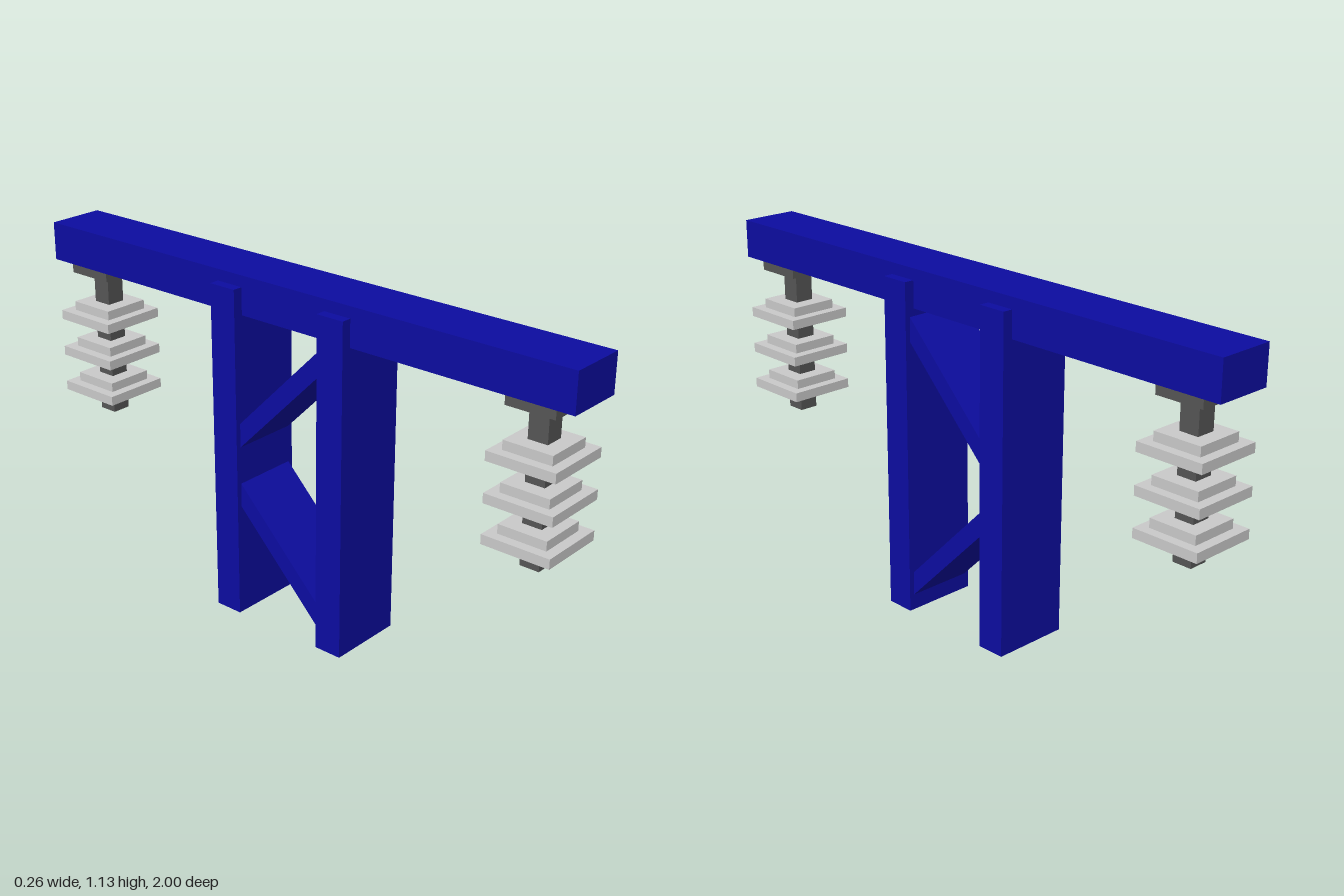
import * as THREE from 'three';

const steel = new THREE.MeshStandardMaterial({ name: 'blue steel', color: 0x0c0ca0 });
const metal = new THREE.MeshStandardMaterial({ name: 'dark metal', color: 0x555555 });
const ceramic = new THREE.MeshStandardMaterial({ name: 'pale ceramic', color: 0xcacaca });

function box(parent, name, material, [w, h, d], [x, y, z]) {
  const mesh = new THREE.Mesh(new THREE.BoxGeometry(w, h, d), material);
  mesh.name = name;
  mesh.position.set(x, y, z);
  parent.add(mesh);
  return mesh;
}

// Hanging rod with a mounting plate and three stepped square discs
function insulator(z) {
  const g = new THREE.Group();
  g.name = 'insulator';
  g.position.z = z;
  box(g, 'mountingPlate', metal, [0.16, 0.035, 0.16], [0, 0.9925, 0]);
  box(g, 'rod', metal, [0.064, 0.488, 0.064], [0, 0.734, 0]);
  for (const y of [0.56, 0.686, 0.813]) {
    box(g, 'wideDisc', ceramic, [0.224, 0.031, 0.224], [0, y + 0.0155, 0]);
    box(g, 'narrowDisc', ceramic, [0.16, 0.03, 0.16], [0, y + 0.046, 0]);
  }
  return g;
}

export function createModel() {
  const model = new THREE.Group();
  model.name = 'crossbarPylon';

  // Long top beam
  box(model, 'crossbeam', steel, [0.19, 0.125, 2], [0, 1.0725, 0]);

  // Two legs, each with an insulator hung outboard
  for (const s of [1, -1]) {
    box(model, s > 0 ? 'frontLeg' : 'backLeg', steel, [0.256, 1.098, 0.096], [0, 0.549, s * 0.209]);
    model.add(insulator(s * 0.855));
  }

  // Diagonal slabs between the legs, ends buried inside them
  const slab = [0.222, 0.056, 0.56];
  box(model, 'lowerBrace', steel, slab, [0, 0.255, 0]).rotation.x = 0.79;
  box(model, 'upperBrace', steel, slab, [0, 0.784, 0]).rotation.x = -0.79;

  return model;
}
